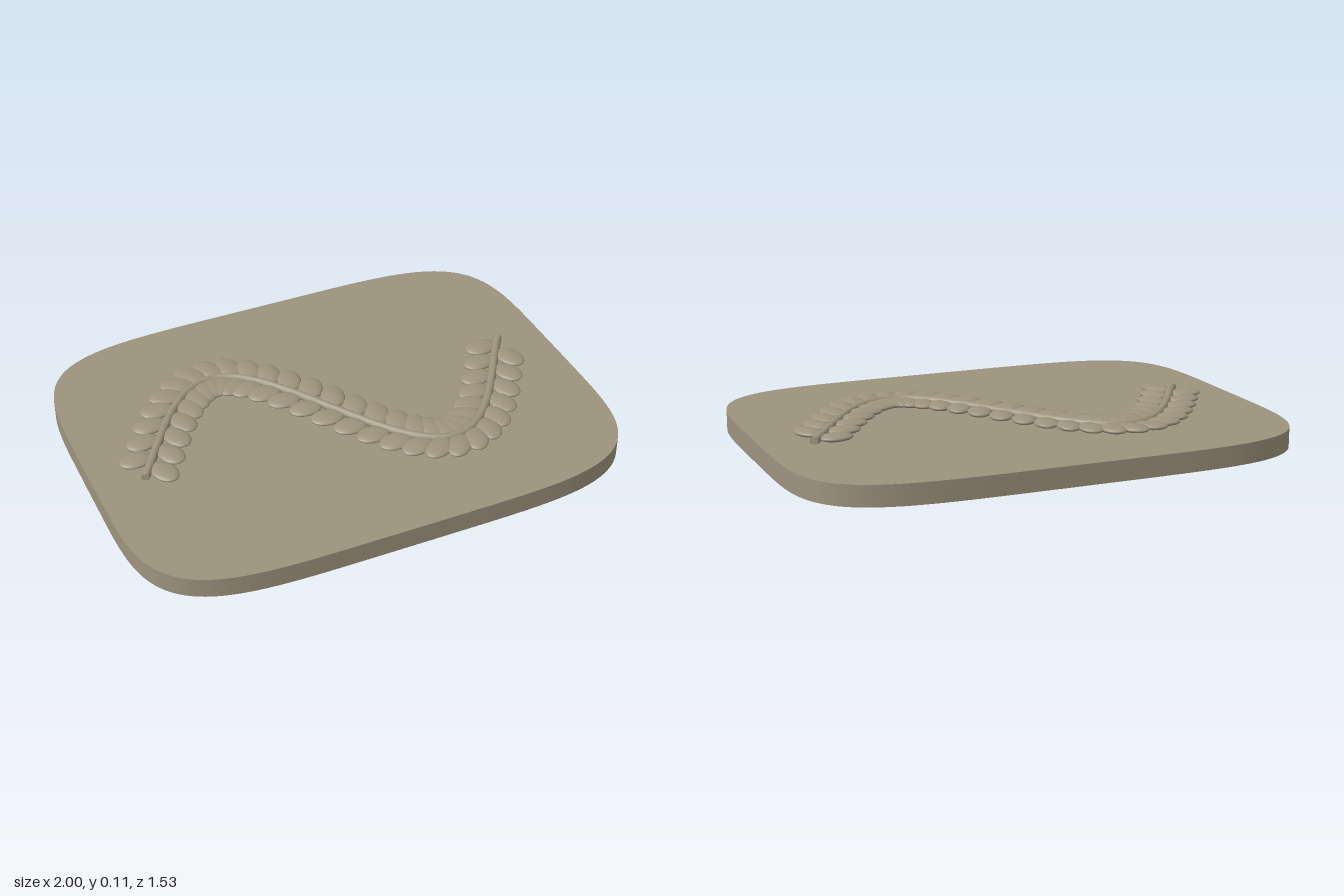
import * as THREE from 'three';

const BASE_TOP = 0.08;
const material = new THREE.MeshStandardMaterial({ color: 0x9d937d });

// Wavy centre line of the sprig, as height z over x
const wave = (x) => 0.36 * Math.sin(4.33 * (x + 0.01));
const slope = (x) => 0.36 * 4.33 * Math.cos(4.33 * (x + 0.01));

function addMesh(parent, geometry, name) {
  const mesh = new THREE.Mesh(geometry, material);
  mesh.name = name;
  parent.add(mesh);
  return mesh;
}

// Flat slab with a superellipse outline
function createBase(parent) {
  const points = [];
  const power = (v) => Math.sign(v) * Math.abs(v) ** 0.4;
  for (let i = 0; i < 144; i++) {
    const a = (i / 144) * Math.PI * 2;
    points.push(new THREE.Vector2(power(Math.cos(a)), 0.767 * power(Math.sin(a))));
  }
  const geometry = new THREE.ExtrudeGeometry(new THREE.Shape(points), { depth: BASE_TOP, bevelEnabled: false });
  geometry.rotateX(-Math.PI / 2);
  addMesh(parent, geometry, 'base');
}

// Round stem following the wave, closed at both ends
function createStem(parent) {
  const stem = new THREE.Group();
  stem.name = 'stem';
  const points = [];
  for (let i = 0; i <= 40; i++) {
    const x = -0.81 + (1.62 * i) / 40;
    points.push(new THREE.Vector3(x, 0.09, wave(x)));
  }
  const curve = new THREE.CatmullRomCurve3(points);
  addMesh(stem, new THREE.TubeGeometry(curve, 120, 0.017, 12), 'stemTube');
  for (const t of [0, 1]) {
    const cap = addMesh(stem, new THREE.CircleGeometry(0.017, 12), 'stemEnd');
    const outward = curve.getTangent(t).multiplyScalar(t ? 1 : -1);
    cap.position.copy(curve.getPoint(t));
    cap.quaternion.setFromUnitVectors(new THREE.Vector3(0, 0, 1), outward);
  }
  parent.add(stem);
}

// Flattened oval leaves, staggered on both sides and tilted back along the stem
function createLeaves(parent) {
  const leaves = new THREE.Group();
  leaves.name = 'leaves';
  const geometry = new THREE.SphereGeometry(1, 20, 12);
  for (const side of [1, -1]) {
    for (let i = 0; i < 28; i++) {
      const x = -0.757 + i * 0.0564 - (side < 0 ? 0.027 : 0);
      const along = new THREE.Vector3(1, 0, slope(x)).normalize();
      const out = new THREE.Vector3(along.z, 0, -along.x).multiplyScalar(side);
      const axis = out.clone().multiplyScalar(Math.cos(0.65)).addScaledVector(along, -Math.sin(0.65));
      const leaf = addMesh(leaves, geometry, 'leaf');
      leaf.position.set(x, 0.09, wave(x)).addScaledVector(out, 0.061);
      leaf.scale.set(0.068, 0.015, 0.048);
      leaf.rotation.y = Math.atan2(-axis.z, axis.x);
    }
  }
  parent.add(leaves);
}

export function createModel() {
  const model = new THREE.Group();
  model.name = 'sprigPlaque';
  createBase(model);
  createStem(model);
  createLeaves(model);
  return model;
}
